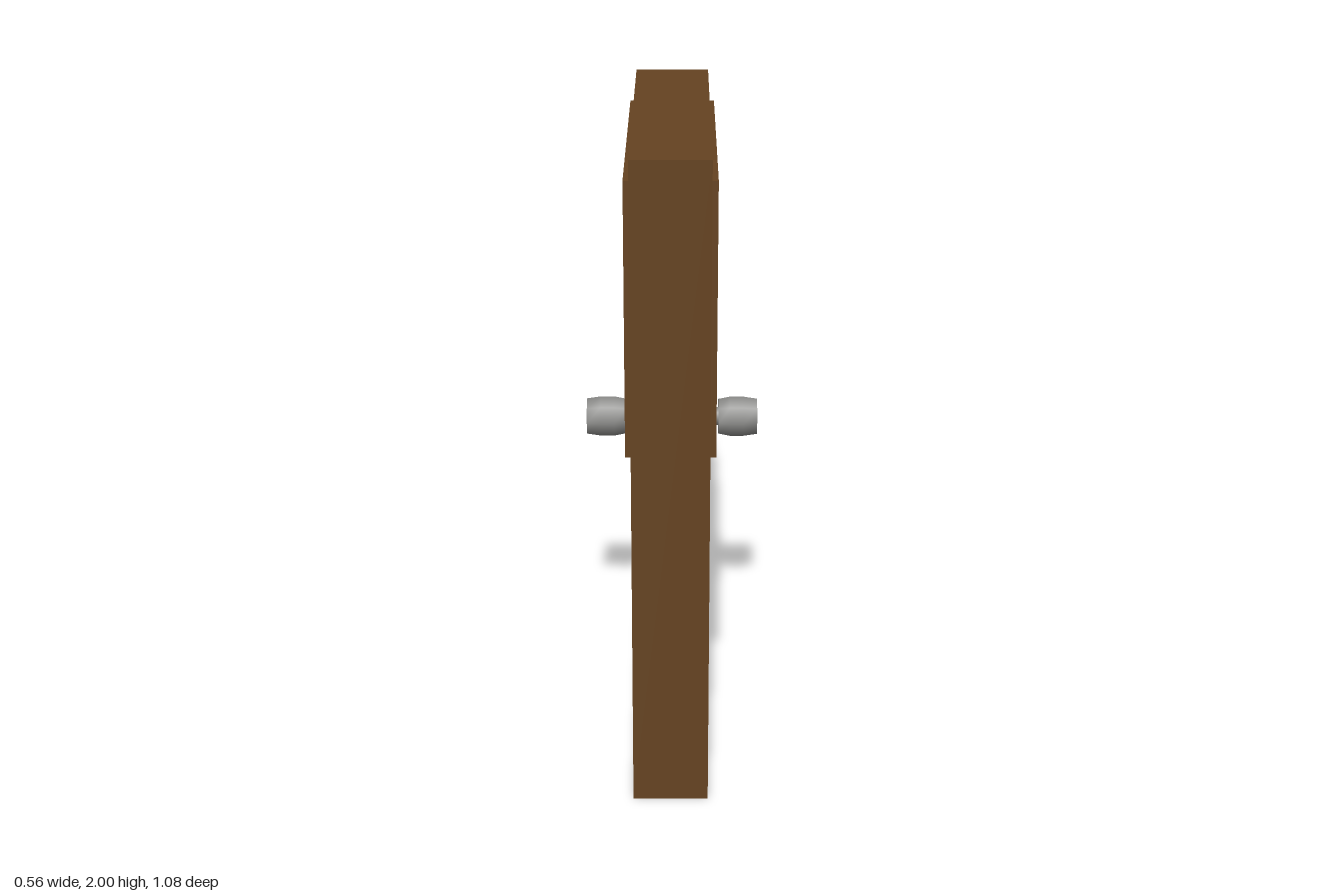
import * as THREE from 'three';
import { toCreasedNormals } from 'three/addons/utils/BufferGeometryUtils.js';

const wood = new THREE.MeshStandardMaterial({ color: 0x654321 });
wood.name = 'wood';
const glass = new THREE.MeshStandardMaterial({ color: 0x7d9c9c });
glass.name = 'glass';
const metal = new THREE.MeshStandardMaterial({ color: 0x888886 });
metal.name = 'metal';

// Upright rectangle path, given half width and bottom and top heights
function rect(path, half, bottom, top) {
  path.moveTo(-half, bottom);
  path.lineTo(half, bottom);
  path.lineTo(half, top);
  path.lineTo(-half, top);
  path.closePath();
  return path;
}

// Slab with a rectangular opening, running from x0 to x1
function frame(name, outer, inner, x0, x1) {
  const shape = rect(new THREE.Shape(), ...outer);
  shape.holes.push(rect(new THREE.Path(), ...inner));
  const geometry = new THREE.ExtrudeGeometry(shape, { depth: x1 - x0, bevelEnabled: false });
  geometry.rotateY(Math.PI / 2).translate(x0, 0, 0);
  const mesh = new THREE.Mesh(geometry, wood);
  mesh.name = name;
  return mesh;
}

// Eight-sided turned part along x, from [radius, distance] pairs
function turned(name, profile) {
  const points = profile.map(([r, d]) => new THREE.Vector2(r, d));
  const geometry = toCreasedNormals(new THREE.LatheGeometry(points, 8).rotateZ(-Math.PI / 2), 0.9);
  const mesh = new THREE.Mesh(geometry, metal);
  mesh.name = name;
  return mesh;
}

export function createModel() {
  const door = new THREE.Group();
  door.name = 'door';

  const opening = [0.395, 1.16, 1.86];
  const trimEdge = [0.462, 1.1, 1.92];
  const paneEdge = [0.374, 1.177, 1.843];

  // Door leaf with window opening, raised trim on both faces
  door.add(frame('doorLeaf', [0.541, 0, 2], opening, -0.113, 0.113));
  door.add(frame('windowTrimLeft', trimEdge, opening, 0.113, 0.131));
  door.add(frame('windowTrimRight', trimEdge, opening, -0.131, -0.113));

  // Inner stop holding the pane
  door.add(frame('glazingStop', opening, paneEdge, -0.035, 0.035));
  const pane = new THREE.Mesh(new THREE.BoxGeometry(0.02, 0.68, 0.76), glass);
  pane.name = 'windowPane';
  pane.position.y = 1.51;
  door.add(pane);

  // Matching knobs on both faces
  for (const side of [1, -1]) {
    const knob = new THREE.Group();
    knob.name = side > 0 ? 'knobLeft' : 'knobRight';
    knob.add(
      turned('rosette', [[0.09, 0.11], [0.09, 0.119], [0, 0.119]]),
      turned('shaft', [[0.032, 0.112], [0.032, 0.16]]),
      turned('grip', [[0, 0.153], [0.062, 0.153], [0.07, 0.19], [0.07, 0.235], [0.063, 0.28], [0.055, 0.28], [0, 0.272]]),
    );
    knob.position.set(0, 0.873, -0.4);
    knob.rotation.y = side > 0 ? 0 : Math.PI;
    door.add(knob);
  }
  return door;
}
